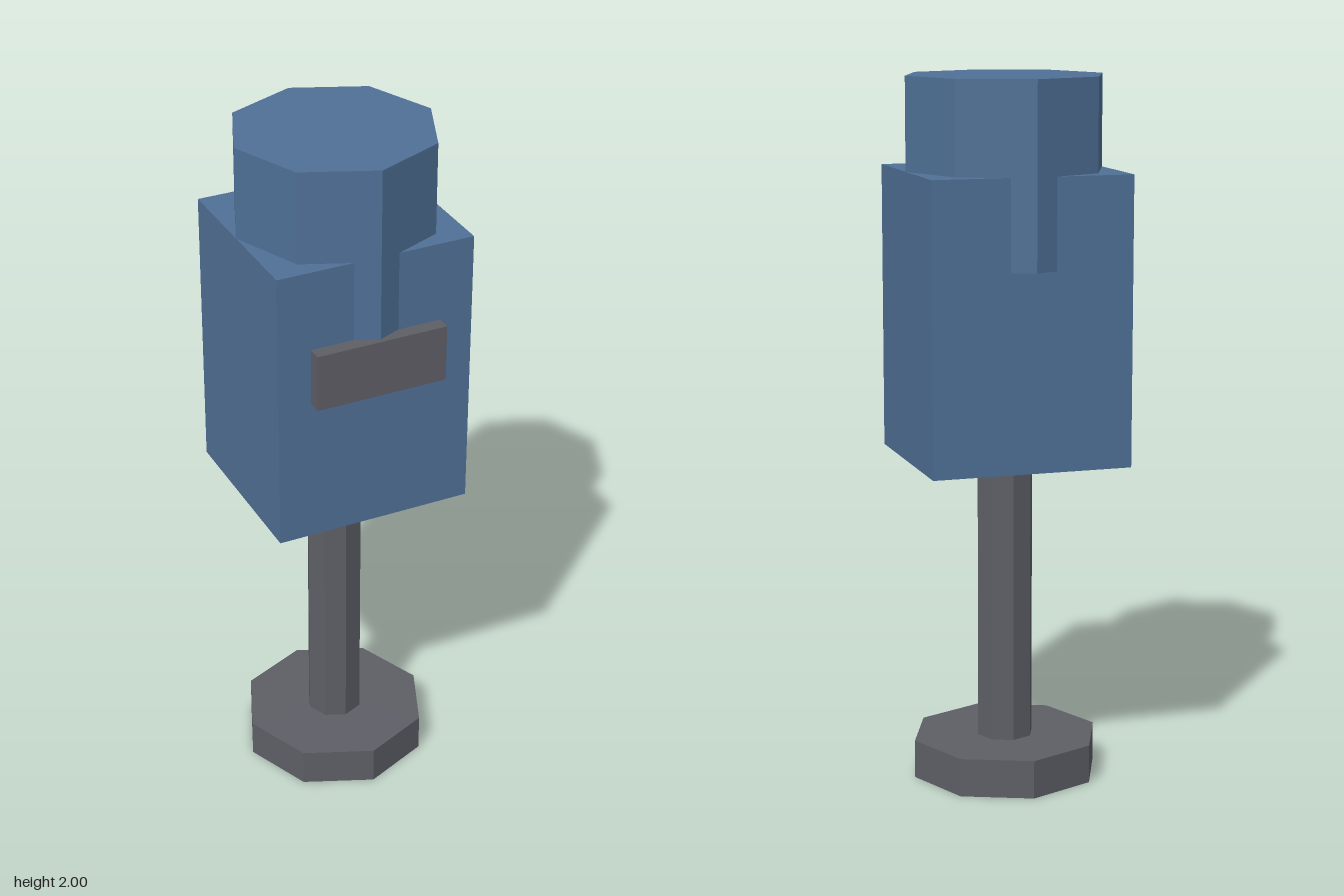
import * as THREE from 'three';

const Z = -0.007; // shared axis of base, post, body and cap

export function createModel() {
  const model = new THREE.Group();
  const blue = new THREE.MeshStandardMaterial({ color: 0x4f7096, flatShading: true });
  const grey = new THREE.MeshStandardMaterial({ color: 0x5e5f66, flatShading: true });

  const add = (name, geometry, material, y, z = Z) => {
    const mesh = new THREE.Mesh(geometry, material);
    mesh.name = name;
    mesh.position.set(0, y, z);
    model.add(mesh);
  };
  // Eight-sided prism standing between two heights
  const prism = (name, radius, bottom, top, material) =>
    add(name, new THREE.CylinderGeometry(radius, radius, top - bottom, 8), material, (bottom + top) / 2);

  // Stand
  prism('base', 0.271, 0, 0.11, grey);
  prism('post', 0.081, 0.11, 0.93, grey);

  // Box body, with the cap sunk into it so its corners show front and back
  add('body', new THREE.BoxGeometry(0.57, 0.81, 0.516), blue, 1.335);
  prism('cap', 0.285, 1.485, 2, blue);

  // Plate on the front
  add('frontPlate', new THREE.BoxGeometry(0.38, 0.163, 0.06), grey, 1.431, 0.262);

  return model;
}
